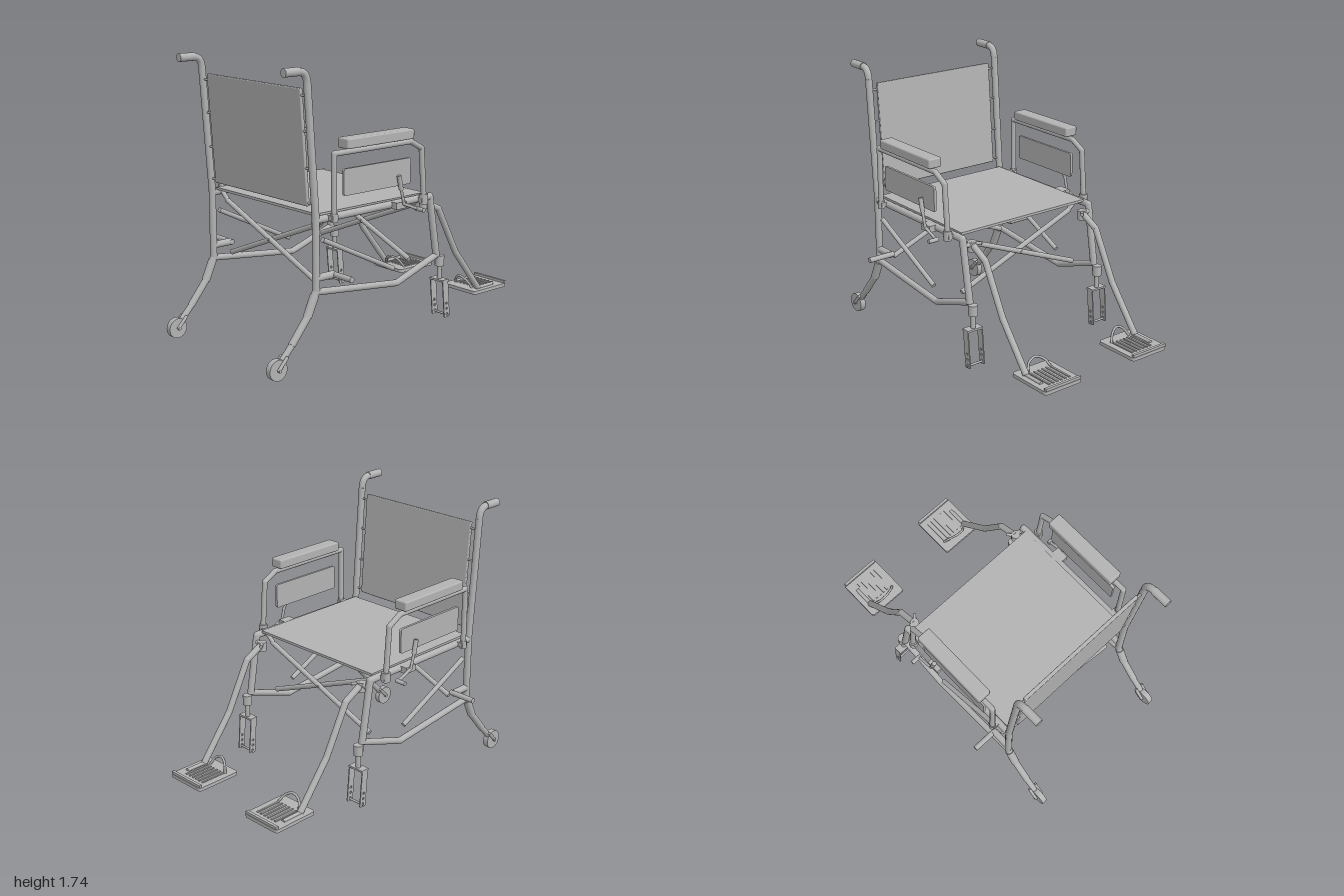
import * as THREE from 'three';
import { RoundedBoxGeometry } from 'three/addons/geometries/RoundedBoxGeometry.js';

const grey = new THREE.MeshStandardMaterial({ color: 0xb2b2b2 });
grey.name = 'grey';
const V = (p) => new THREE.Vector3(...p);
const UP = new THREE.Vector3(0, 1, 0);

function add(parent, name, geometry, pos = [0, 0, 0]) {
  const mesh = new THREE.Mesh(geometry, grey);
  mesh.name = name;
  mesh.position.set(...pos);
  parent.add(mesh);
  return mesh;
}

// Straight round bar between two points
function rod(parent, name, a, b, r, sides = 16) {
  const A = V(a), B = V(b), d = B.clone().sub(A);
  const mesh = add(parent, name, new THREE.CylinderGeometry(r, r, d.length(), sides));
  mesh.position.copy(A).add(B).multiplyScalar(0.5);
  mesh.quaternion.setFromUnitVectors(UP, d.normalize());
  return mesh;
}

// Chain of bars with rounded joints
function pipe(parent, name, pts, r) {
  const g = new THREE.Group();
  g.name = name;
  parent.add(g);
  pts.forEach((p, i) => {
    if (i) rod(g, name + 'Bar', pts[i - 1], p, r);
    if (i && i < pts.length - 1) add(g, name + 'Joint', new THREE.SphereGeometry(r, 16, 10), p);
  });
  return g;
}

const box = (parent, name, size, pos) => add(parent, name, new THREE.BoxGeometry(...size), pos);

// Flat rounded plate in the xy plane, centred in thickness, with optional holes
function plate(w, h, r, t, holes = []) {
  const s = new THREE.Shape(), x = w / 2, y = h / 2;
  s.moveTo(-x + r, -y).lineTo(x - r, -y).absarc(x - r, -y + r, r, -Math.PI / 2, 0);
  s.absarc(x - r, y - r, r, 0, Math.PI / 2).absarc(-x + r, y - r, r, Math.PI / 2, Math.PI);
  s.absarc(-x + r, -y + r, r, Math.PI, Math.PI * 1.5);
  holes.forEach(([hx, hy, hr]) => s.holes.push(new THREE.Path().absarc(hx, hy, hr, 0, Math.PI * 2, true)));
  return new THREE.ExtrudeGeometry(s, { depth: t, bevelEnabled: false, curveSegments: 8 }).translate(0, 0, -t / 2);
}

function frameSide(g, s) {
  const z = 0.49 * s;
  // Back post, push handle and rear leg
  pipe(g, 'backPost', [[-0.705, 1.64, z], [-0.65, 0.88, z], [-0.65, 0.46, z], [-0.715, 0.32, z], [-0.83, 0.18, z]], 0.022);
  const bend = new THREE.CubicBezierCurve3(V([-0.705, 1.64, z]), V([-0.71, 1.69, z]), V([-0.73, 1.71, z]), V([-0.78, 1.71, z]));
  add(g, 'handleBend', new THREE.TubeGeometry(bend, 12, 0.022, 16));
  rod(g, 'handleGrip', [-0.87, 1.71, z], [-0.76, 1.71, z], 0.025);
  rod(g, 'rearLegSleeve', [-0.66, 0.44, z], [-0.715, 0.32, z], 0.026);
  // Rear caster
  rod(g, 'casterStem', [-0.82, 0.19, z], [-0.9, 0.105, z], 0.019);
  for (const o of [-0.025, 0.025]) rod(g, 'casterFork', [-0.88, 0.13, z + o], [-0.945, 0.06, z + o], 0.01);
  add(g, 'casterWheel', new THREE.CylinderGeometry(0.062, 0.062, 0.036, 28).rotateX(Math.PI / 2), [-0.938, 0.062, z]);
  rod(g, 'casterAxle', [-0.938, 0.062, z - 0.035], [-0.938, 0.062, z + 0.035], 0.01);
  // Seat rail, front leg and lower rail
  pipe(g, 'sideRail', [[-0.65, 0.87, z], [0.25, 0.875, z], [0.315, 0.49, z]], 0.022);
  pipe(g, 'lowerRail', [[-0.65, 0.455, z], [-0.02, 0.385, z], [0.32, 0.5, z]], 0.02);
  rod(g, 'diagonalBar', [-0.6, 0.75, z], [-0.05, 0.48, z], 0.015);
  // Empty front wheel fork
  rod(g, 'frontCollar', [0.345, 0.425, z], [0.345, 0.49, z], 0.029);
  rod(g, 'frontStem', [0.345, 0.335, z], [0.345, 0.43, z], 0.015);
  box(g, 'forkCrown', [0.055, 0.012, 0.11], [0.342, 0.338, z]);
  for (const o of [-0.052, 0.052]) {
    const holes = [[0, -0.03, 0.008], [0, -0.065, 0.008], [0, -0.1, 0.008]];
    add(g, 'forkPlate', plate(0.046, 0.24, 0.008, 0.007, holes), [0.353, 0.222, z + o]).rotation.z = 0.085;
  }
  rod(g, 'forkAxle', [0.364, 0.118, z - 0.062], [0.364, 0.118, z + 0.062], 0.007);
  // Main wheel axle stub
  rod(g, 'axleArm', [-0.65, 0.535, z], [-0.52, 0.535, z], 0.022);
  rod(g, 'axleStub', [-0.52, 0.535, z - 0.02 * s], [-0.52, 0.535, 0.65 * s], 0.017);
  // Pins holding the back cloth
  for (const y of [0.96, 1.16, 1.37, 1.57]) {
    const x = -0.65 - (y - 0.88) * 0.072;
    rod(g, 'backPin', [x, y, 0.42 * s], [x, y, z], 0.007, 8);
  }
}

function armrest(g, s) {
  const z = 0.53 * s;
  pipe(g, 'armFrame', [[-0.548, 0.88, z], [-0.548, 1.24, z], [0.045, 1.24, z], [0.135, 1.19, z], [0.16, 0.87, z]], 0.017);
  add(g, 'armPad', new RoundedBoxGeometry(0.52, 0.06, 0.09, 3, 0.01), [-0.22, 1.29, 0.525 * s]);
  add(g, 'sidePanel', plate(0.52, 0.155, 0.012, 0.016), [-0.22, 1.068, z]);
  for (const x of [-0.548, 0.158]) {
    rod(g, 'armSocket', [x, 0.85, z], [x, x > 0 ? 0.91 : 0.9, z], x > 0 ? 0.026 : 0.021);
    box(g, 'socketClamp', [0.05, 0.03, 0.06], [x, 0.875, 0.51 * s]);
  }
  // Brake
  const b = 0.557 * s;
  box(g, 'brakeClamp', [0.085, 0.04, 0.06], [-0.04, 0.872, 0.52 * s]);
  pipe(g, 'brakeLever', [[-0.07, 1.03, b], [-0.03, 0.88, b], [0.08, 0.835, b]], 0.009);
  rod(g, 'brakeGrip', [-0.073, 1.055, b], [-0.054, 0.97, b], 0.014);
  rod(g, 'brakeShoe', [0.08, 0.835, 0.545 * s], [0.08, 0.835, 0.612 * s], 0.013);
}

function footrest(g, s) {
  const z = 0.43 * s;
  // Swing-away hanger
  rod(g, 'hangerPivot', [0.26, 0.79, z], [0.26, 0.85, z], 0.028);
  rod(g, 'pivotLink', [0.265, 0.835, z], [0.26, 0.835, 0.49 * s], 0.015);
  rod(g, 'releaseTab', [0.26, 0.84, z], [0.305, 0.84, 0.39 * s], 0.01);
  pipe(g, 'hanger', [[0.26, 0.835, z], [0.39, 0.765, z], [0.55, 0.46, z], [0.765, 0.185, z]], 0.02);
  rod(g, 'plateHinge', [0.75, 0.185, z], [0.9, 0.185, z], 0.012);
  // Foot plate with lip and ridges
  const c = 0.338 * s;
  add(g, 'footPlate', plate(0.305, 0.275, 0.02, 0.022).rotateX(-Math.PI / 2), [0.84, 0.171, c]);
  box(g, 'plateLip', [0.018, 0.02, 0.26], [0.98, 0.188, c]);
  for (let i = 0; i < 6; i++) box(g, 'plateRidge', [0.17, 0.008, 0.012], [0.85, 0.184, c + (i - 3) * 0.03 * s]);
  // Heel loop
  const loop = new THREE.CatmullRomCurve3([[0.76, 0.18, 0.24], [0.735, 0.227, 0.27], [0.715, 0.249, 0.32],
    [0.72, 0.23, 0.37], [0.745, 0.18, 0.4]].map(([x, y, w]) => V([x, y, w * s])));
  add(g, 'heelLoop', new THREE.TubeGeometry(loop, 24, 0.008, 8));
}

export function createModel() {
  const model = new THREE.Group();
  model.name = 'wheelchair';
  for (const s of [1, -1]) {
    const side = s > 0 ? 'left' : 'right';
    for (const [name, build] of [['Frame', frameSide], ['Armrest', armrest], ['Footrest', footrest]]) {
      const g = new THREE.Group();
      g.name = side + name;
      build(g, s);
      model.add(g);
    }
  }
  // Cloth seat and back
  box(model, 'seat', [0.85, 0.016, 0.95], [-0.205, 0.893, 0]);
  const back = add(model, 'backrest', new RoundedBoxGeometry(0.022, 0.67, 0.87, 2, 0.006), [-0.678, 1.275, 0]);
  back.rotation.z = 0.072;
  // Folding cross braces
  for (const x of [-0.572, 0.163]) {
    for (const s of [1, -1]) {
      const bx = x + 0.016 * s;
      rod(model, 'crossBrace', [bx, 0.825, 0.425 * s], [bx, 0.487, -0.425 * s], 0.016);
      rod(model, 'braceTopPin', [bx, 0.825, 0.415 * s], [bx, 0.87, 0.47 * s], 0.014);
    }
    rod(model, 'bracePivot', [x - 0.035, 0.656, 0], [x + 0.035, 0.656, 0], 0.008);
  }
  return model;
}
